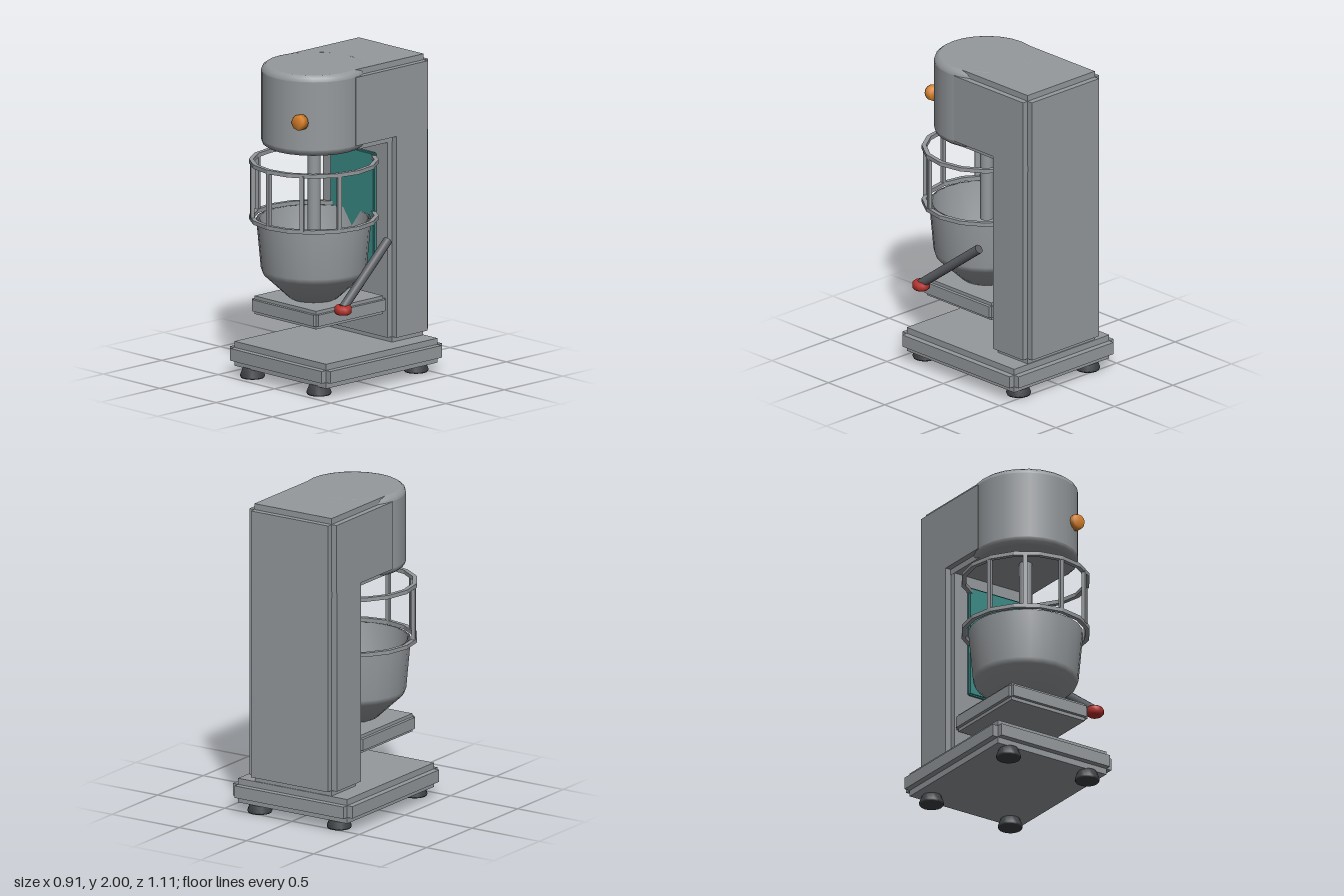
import * as THREE from 'three';

const material = (name, color) => {
  const m = new THREE.MeshStandardMaterial({ color });
  m.name = name;
  return m;
};

export function createModel() {
  const model = new THREE.Group();
  model.name = 'planetaryMixer';
  const grey = material('bodyGrey', 0x95999c);
  const dark = material('rubberDark', 0x3c4043);
  const steel = material('leverSteel', 0x5a5d62);
  const teal = material('panelTeal', 0x3a8a86);
  const orange = material('knobOrange', 0xd9822b);
  const red = material('gripRed', 0xb8322c);
  const CX = -0.015, CZ = 0.15; // axis of head, shaft, bowl and guard

  const add = (name, geometry, mat, x = 0, y = 0, z = 0, parent = model) => {
    const mesh = new THREE.Mesh(geometry, mat);
    mesh.name = name;
    mesh.position.set(x, y, z);
    parent.add(mesh);
    return mesh;
  };

  // Box with stepped edges: three crossed boxes, each full size along one axis
  const steppedBox = (name, mat, [x0, x1], [y0, y1], [z0, z1], step) => {
    const group = new THREE.Group();
    group.name = name;
    group.position.set((x0 + x1) / 2, (y0 + y1) / 2, (z0 + z1) / 2);
    const size = [x1 - x0, y1 - y0, z1 - z0];
    for (let axis = 0; axis < 3; axis++) {
      const s = size.map((v, i) => (i === axis ? v : v - 2 * step));
      add(name + 'XYZ'[axis], new THREE.BoxGeometry(...s), mat, 0, 0, 0, group);
    }
    model.add(group);
  };

  const lathe = (points, sides) =>
    new THREE.LatheGeometry(points.map(([r, y]) => new THREE.Vector2(r, y)), sides);

  // Frame
  steppedBox('base', grey, [-0.46, 0.43], [0.06, 0.215], [-0.555, 0.475], 0.039);
  steppedBox('column', grey, [-0.34, 0.31], [0.21, 2], [-0.55, -0.205], 0.04);
  steppedBox('headArm', grey, [-0.34, 0.31], [1.49, 2], [-0.55, 0.14], 0.038);
  steppedBox('bowlTable', grey, [-0.31, 0.28], [0.405, 0.52], [-0.2, 0.415], 0.021);
  steppedBox('backPanel', teal, [-0.21, 0.18], [0.68, 1.41], [-0.205, -0.175], 0.008);

  // Feet
  for (const x of [-0.31, 0.28])
    for (const z of [-0.44, 0.39])
      add('foot', lathe([[0, 0], [0.073, 0], [0.078, 0.012], [0.058, 0.065], [0, 0.065]], 16), dark, x, 0, z);

  // Motor head: straight wall with a rounded rim above and below
  add('motorHead', lathe([
    [0, 1.49], [0.29, 1.49], [0.298, 1.49], [0.318, 1.505], [0.325, 1.525],
    [0.325, 1.53], [0.325, 1.96], [0.325, 1.965], [0.318, 1.985], [0.298, 2], [0.29, 2], [0, 2],
  ], 24), grey, CX, 0, CZ);
  add('shaft', new THREE.CylinderGeometry(0.04, 0.04, 0.59, 16), grey, CX, 1.205, CZ);

  // Control knob on the front of the head
  const knob = add('controlKnob', lathe([
    [0, -0.03], [0.048, -0.03], [0.05, 0.012], [0.04, 0.03], [0, 0.03],
  ], 12), orange, 0.163, 1.71, 0.444);
  knob.rotation.x = Math.PI / 2;

  // Mixing bowl, outside up over the rim and down the inside
  add('bowl', lathe([
    [0, 0.52], [0.15, 0.52], [0.24, 0.605], [0.315, 0.675], [0.327, 0.71], [0.355, 1.02],
    [0.335, 1.02], [0.305, 0.71], [0.225, 0.62], [0.14, 0.54], [0, 0.54],
  ], 24), grey, CX, 0, CZ);

  // Guard: two flat hoops joined by five posts
  const hoop = lathe([[0.372, -0.0125], [0.4, -0.0125], [0.4, 0.0125], [0.372, 0.0125], [0.372, -0.0125]], 16)
    .toNonIndexed();
  hoop.computeVertexNormals();
  for (const y of [1.027, 1.382]) add('guardHoop', hoop, grey, CX, y, CZ);
  for (let i = -2; i <= 2; i++) {
    const a = THREE.MathUtils.degToRad(35 * i);
    const post = add('guardPost', new THREE.BoxGeometry(0.028, 0.35, 0.022), grey,
      CX + 0.384 * Math.sin(a), 1.205, CZ + 0.384 * Math.cos(a));
    post.rotation.y = a;
  }

  // Lift lever with its grip
  const top = new THREE.Vector3(0.335, 0.89, -0.145);
  const end = new THREE.Vector3(0.4, 0.55, 0.3);
  const along = end.clone().sub(top);
  const mid = top.clone().add(end).multiplyScalar(0.5);
  const lever = add('liftLever', new THREE.CylinderGeometry(0.029, 0.029, along.length(), 14), steel, mid.x, mid.y, mid.z);
  lever.quaternion.setFromUnitVectors(new THREE.Vector3(0, 1, 0), along.normalize());
  add('leverGrip', lathe([
    [0, -0.028], [0.042, -0.028], [0.055, -0.014], [0.055, 0.014], [0.042, 0.028], [0, 0.028],
  ], 12), red, 0.4, 0.54, 0.3);

  return model;
}
